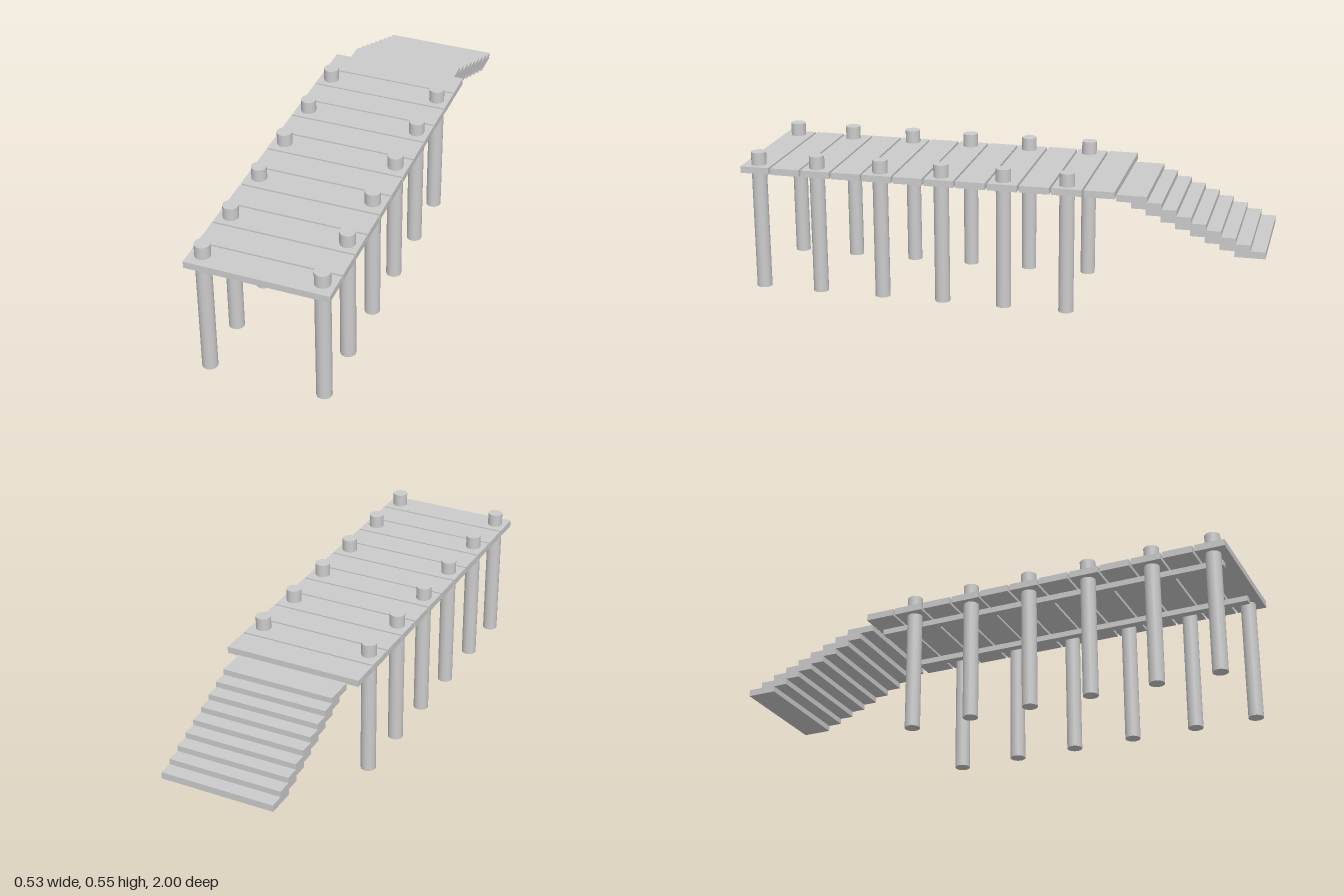
import * as THREE from 'three';

export function createModel() {
  const model = new THREE.Group();
  model.name = 'pier';
  const material = new THREE.MeshStandardMaterial({ color: 0xcccccc });

  const add = (name, geometry, x, y, z) => {
    const mesh = new THREE.Mesh(geometry, material);
    mesh.name = name;
    mesh.position.set(x, y, z);
    model.add(mesh);
  };

  const boardDepth = 0.113;
  const boardHeight = 0.026;

  // Deck planks, laid from the stair end to the front with narrow gaps
  const plank = new THREE.BoxGeometry(0.534, boardHeight, boardDepth);
  for (let i = 0; i < 12; i++) {
    add('deckPlank', plank, 0, 0.482, -0.393 + i * 0.1213);
  }

  // Round posts and the long beams under the deck, on both sides
  const post = new THREE.CylinderGeometry(0.029, 0.029, 0.545, 16);
  const beam = new THREE.BoxGeometry(0.03, 0.023, 1.39);
  for (const side of [-1, 1]) {
    for (const z of [0.94, 0.706, 0.455, 0.216, -0.024, -0.265]) {
      add('post', post, side * 0.219, 0.2725, z);
    }
    add('deckBeam', beam, side * 0.154, 0.4585, 0.265);
  }

  // Overlapping treads descending at the back
  const tread = new THREE.BoxGeometry(0.44, boardHeight, boardDepth);
  for (let i = 0; i < 9; i++) {
    add('stairTread', tread, 0, 0.459 - i * 0.0224, -0.505 - i * 0.0548);
  }

  return model;
}
